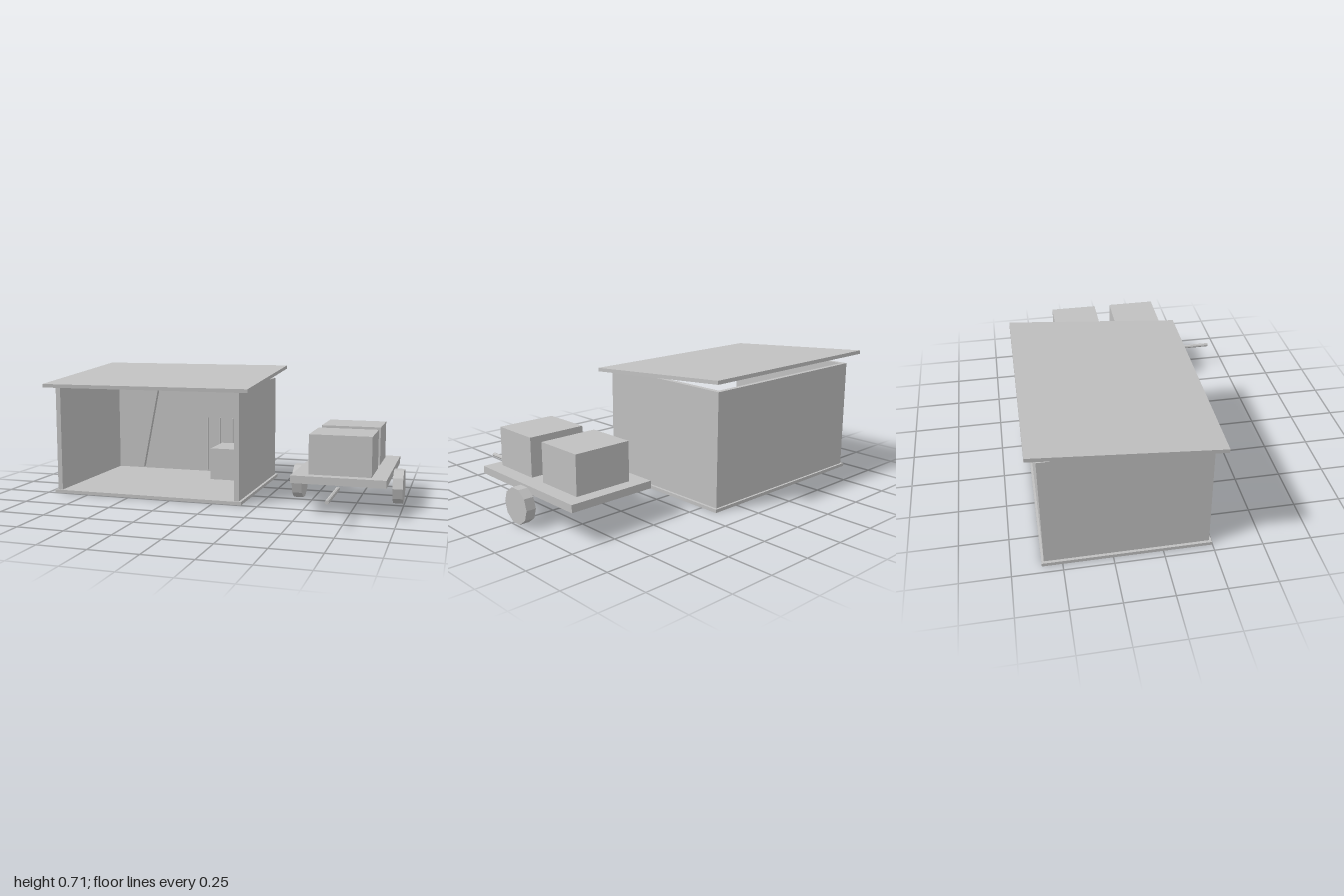
import * as THREE from 'three';

export function createModel() {
  const grey = new THREE.MeshStandardMaterial({ color: 0xc0c0c0 });
  grey.name = 'plain grey';

  const add = (parent, name, geometry) => {
    const mesh = new THREE.Mesh(geometry, grey);
    mesh.name = name;
    parent.add(mesh);
    return mesh;
  };
  // Box given by its extents along each axis
  const box = (parent, name, [x0, x1], [y0, y1], [z0, z1]) => {
    const mesh = add(parent, name, new THREE.BoxGeometry(x1 - x0, y1 - y0, z1 - z0));
    mesh.position.set((x0 + x1) / 2, (y0 + y1) / 2, (z0 + z1) / 2);
    return mesh;
  };

  const model = new THREE.Group();
  model.name = 'shedAndCart';

  // Open-fronted shed
  const shed = new THREE.Group();
  shed.name = 'shed';
  model.add(shed);
  box(shed, 'floor', [-0.96, 0.16], [0, 0.018], [-0.602, 0.247]);
  box(shed, 'rightWall', [-0.945, -0.917], [0.018, 0.632], [-0.59, 0.235]);
  box(shed, 'leftWall', [0.117, 0.145], [0.018, 0.632], [-0.59, 0.235]);
  box(shed, 'backWall', [-0.917, 0.117], [0.018, 0.632], [-0.59, -0.565]);

  // Mono-pitch roof, higher at the back
  const roof = box(shed, 'roof', [-1, 0.205], [0.65, 0.67], [-0.643, 0.287]);
  roof.rotation.x = 0.081;

  // Things stored along the back wall
  const plank = box(shed, 'leaningPlank', [-0.781, -0.677], [0.034, 0.579], [-0.56, -0.53]);
  plank.rotation.z = -0.2;
  box(shed, 'storedCrate', [-0.195, 0.048], [0.018, 0.21], [-0.55, -0.31]);
  for (const x of [-0.292, -0.209, -0.126]) {
    const pole = add(shed, 'toolPole', new THREE.CylinderGeometry(0.005, 0.005, 0.34, 8).toNonIndexed());
    pole.geometry.computeVertexNormals();
    pole.position.set(x, 0.2, -0.555);
  }

  // Cart with two crates
  const cart = new THREE.Group();
  cart.name = 'cart';
  model.add(cart);
  box(cart, 'bed', [0.45, 0.94], [0.16, 0.2], [-0.425, 0.343]);
  box(cart, 'frontCrate', [0.535, 0.86], [0.2, 0.41], [0.015, 0.29]);
  box(cart, 'rearCrate', [0.535, 0.86], [0.2, 0.41], [-0.357, -0.083]);

  // Ten-sided wheels
  for (const x of [0.423, 0.97]) {
    const geometry = new THREE.CylinderGeometry(0.095, 0.095, 0.054, 10).toNonIndexed();
    geometry.computeVertexNormals();
    const wheel = add(cart, 'wheel', geometry.rotateZ(Math.PI / 2));
    wheel.position.set(x, 0.1, -0.04);
  }

  // Tow bar
  const bar = new THREE.CylinderGeometry(0.011, 0.011, 0.327, 8).toNonIndexed();
  bar.computeVertexNormals();
  add(cart, 'towBar', bar.rotateX(Math.PI / 2)).position.set(0.695, 0.14, 0.481);

  return model;
}
